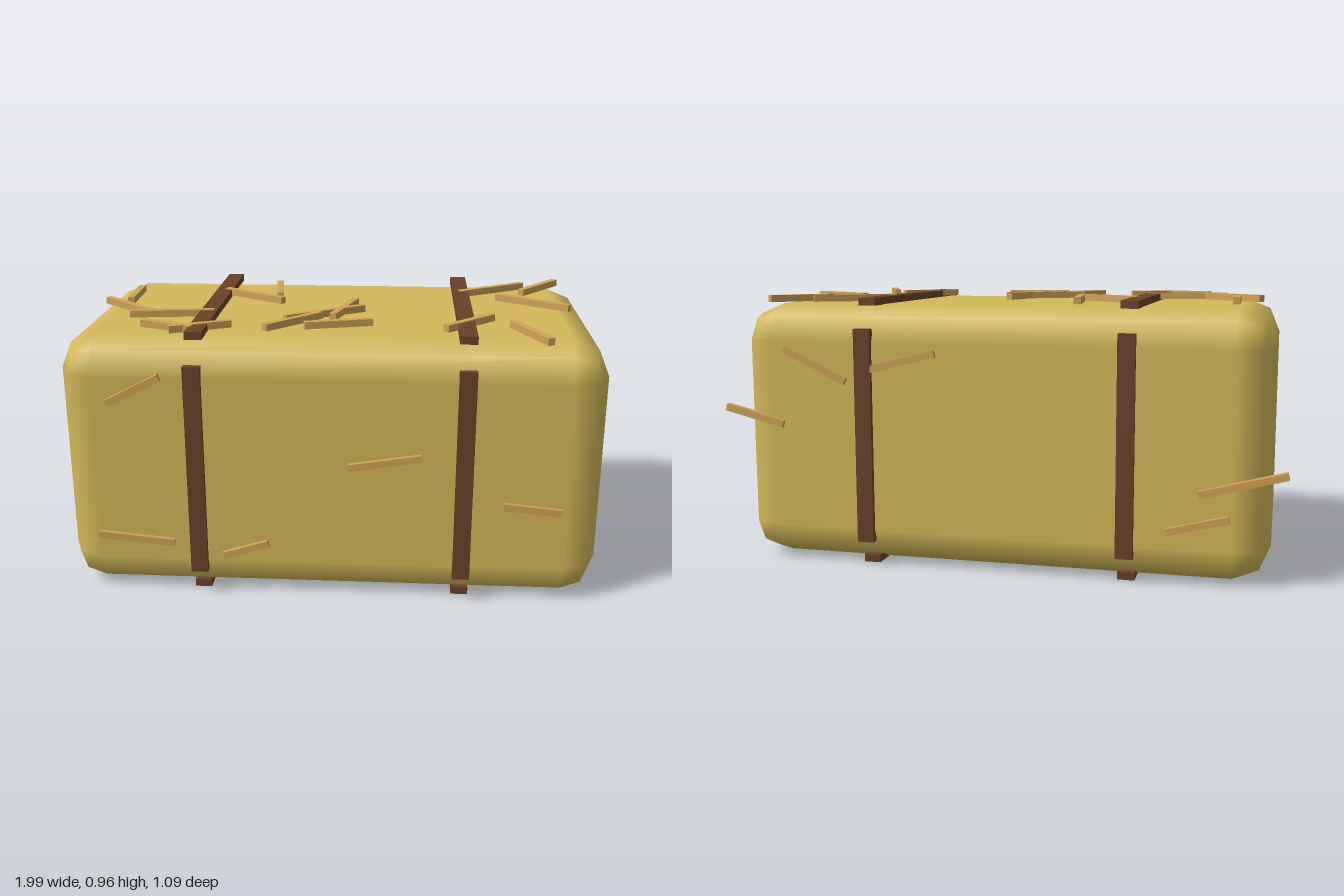
import * as THREE from 'three';
import { RoundedBoxGeometry } from 'three/addons/geometries/RoundedBoxGeometry.js';

export function createModel() {
  const hay = new THREE.MeshStandardMaterial({ name: 'hay', color: 0xd4b85a });
  const twine = new THREE.MeshStandardMaterial({ name: 'twine', color: 0x6b4028 });
  const strawColour = new THREE.MeshStandardMaterial({ name: 'straw', color: 0xd0a258 });
  const model = new THREE.Group();
  model.name = 'hayBale';

  function add(name, geometry, material, x, y, z) {
    const mesh = new THREE.Mesh(geometry, material);
    mesh.name = name;
    mesh.position.set(x, y, z);
    model.add(mesh);
    return mesh;
  }

  // Bale body with two-step rounded edges
  add('bale', new RoundedBoxGeometry(1.89, 0.926, 1.054, 1, 0.128), hay, 0, 0.467, 0);

  // Two bands, each made of four straight strips
  const flat = new THREE.BoxGeometry(0.06, 0.027, 0.966);
  const upright = new THREE.BoxGeometry(0.06, 0.76, 0.027);
  for (const x of [-0.463, 0.463]) {
    add('topStrap', flat, twine, x, 0.942, 0);
    add('bottomStrap', flat, twine, x, 0.0135, 0);
    add('frontStrap', upright, twine, x, 0.47, 0.53);
    add('backStrap', upright, twine, x, 0.47, -0.53);
  }

  // A loose straw between two points
  const xAxis = new THREE.Vector3(1, 0, 0);
  function straw(name, a, b) {
    const dir = b.clone().sub(a);
    const mid = a.clone().add(b).multiplyScalar(0.5);
    const mesh = add(name, new THREE.BoxGeometry(dir.length(), 0.025, 0.025), strawColour, mid.x, mid.y, mid.z);
    mesh.quaternion.setFromUnitVectors(xAxis, dir.normalize());
  }

  // Straws on top: x, z to x, z
  const top = [
    [-0.80, -0.225, -0.795, -0.01], [-0.88, -0.01, -0.67, 0.18],
    [-0.745, 0.2, -0.445, 0.16], [-0.67, 0.33, -0.48, 0.405],
    [-0.56, 0.415, -0.36, 0.32], [-0.455, -0.2, -0.215, -0.045],
    [-0.26, -0.34, -0.235, -0.125], [0.06, -0.05, -0.01, 0.205],
    [-0.18, 0.235, 0.095, 0.06], [-0.235, 0.37, -0.055, 0.175],
    [-0.1, 0.33, 0.135, 0.265], [0.46, -0.205, 0.715, -0.37],
    [0.7, -0.24, 0.855, -0.44], [0.6, -0.155, 0.855, 0.015],
    [0.39, 0.345, 0.56, 0.17], [0.625, 0.265, 0.73, 0.5],
  ];
  for (const [x1, z1, x2, z2] of top) {
    straw('topStraw', new THREE.Vector3(x1, 0.947, z1), new THREE.Vector3(x2, 0.947, z2));
  }

  // Straws on the front and back: x, y to x, y
  const front = [
    [-0.76, 0.715, -0.575, 0.81], [-0.82, 0.225, -0.55, 0.2],
    [-0.375, 0.155, -0.215, 0.205], [0.065, 0.5, 0.315, 0.54],
    [0.6, 0.37, 0.8, 0.35],
  ];
  const back = [
    [0.99, 0.56, 0.77, 0.505], [0.76, 0.775, 0.53, 0.665],
    [0.493, 0.696, 0.2, 0.768], [-0.995, 0.4, -0.707, 0.323],
    [-0.81, 0.245, -0.604, 0.191],
  ];
  for (const [x1, y1, x2, y2] of front) {
    straw('frontStraw', new THREE.Vector3(x1, y1, 0.531), new THREE.Vector3(x2, y2, 0.531));
  }
  for (const [x1, y1, x2, y2] of back) {
    straw('backStraw', new THREE.Vector3(x1, y1, -0.531), new THREE.Vector3(x2, y2, -0.531));
  }

  return model;
}
